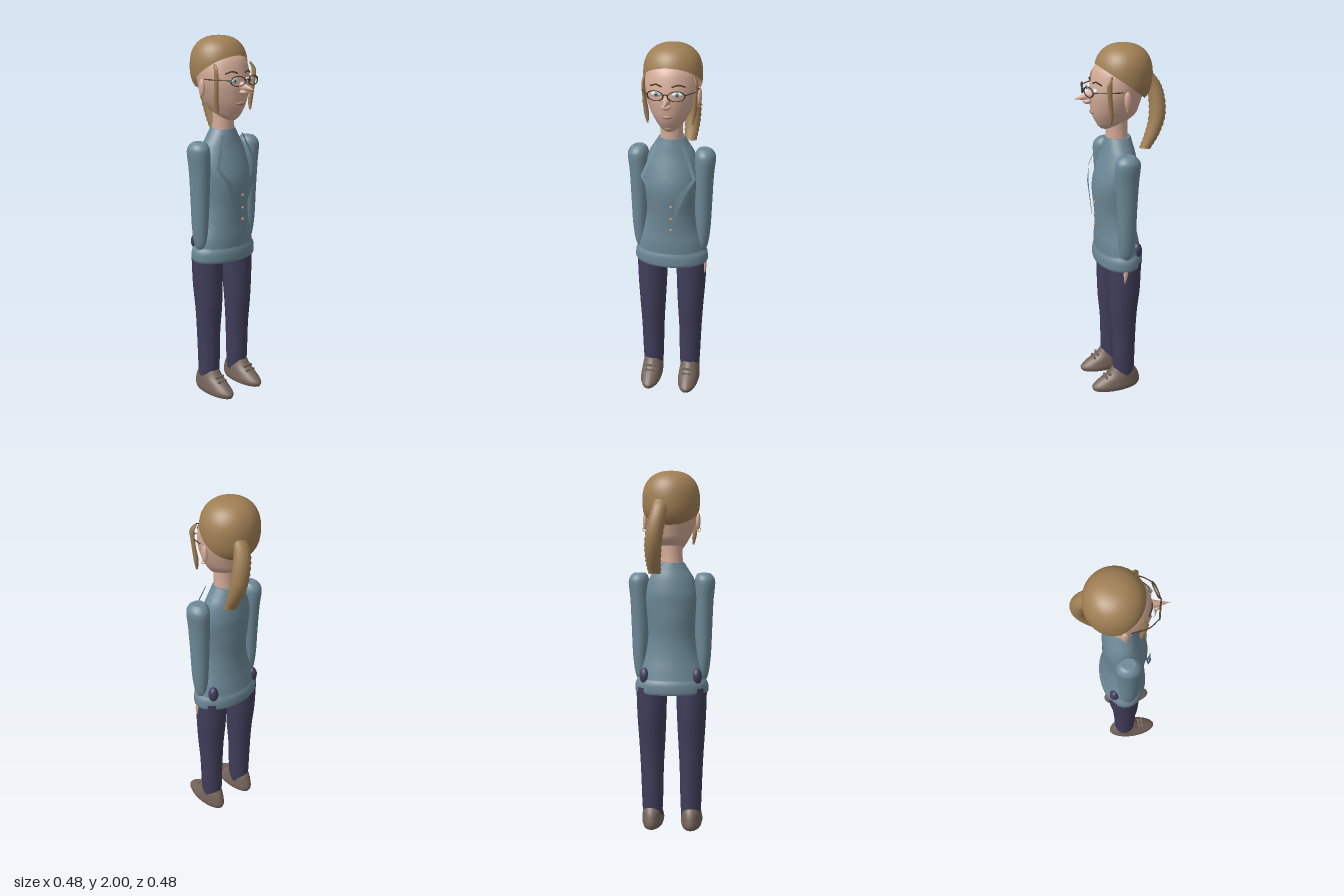
import * as THREE from 'three';

const mat = (name, color, side = THREE.FrontSide) => {
  const m = new THREE.MeshStandardMaterial({ color, side });
  m.name = name;
  return m;
};

// Lofts ellipse rings [y, cx, cz, rx, rz] listed from bottom to top, with flat end caps.
function loft(rings, steps = 5, segs = 28) {
  const centres = new THREE.CatmullRomCurve3(rings.map(r => new THREE.Vector3(r[1], r[0], r[2])), false, 'catmullrom');
  const radii = new THREE.CatmullRomCurve3(rings.map(r => new THREE.Vector3(r[3], 0, r[4])), false, 'catmullrom');
  const n = (rings.length - 1) * steps, pos = [], idx = [];
  const addRing = t => {
    const c = centres.getPoint(t), r = radii.getPoint(t);
    for (let j = 0; j < segs; j++) {
      const a = j / segs * Math.PI * 2;
      pos.push(c.x + r.x * Math.sin(a), c.y, c.z + r.z * Math.cos(a));
    }
    return c;
  };
  for (let i = 0; i <= n; i++) addRing(i / n);
  for (let i = 0; i < n; i++) for (let j = 0; j < segs; j++) {
    const k = (j + 1) % segs, a = i * segs, b = a + segs;
    idx.push(a + j, a + k, b + j, a + k, b + k, b + j);
  }
  for (const t of [0, 1]) {
    const start = pos.length / 3, c = addRing(t), mid = pos.length / 3;
    pos.push(c.x, c.y, c.z);
    for (let j = 0; j < segs; j++) {
      const k = (j + 1) % segs;
      if (t) idx.push(mid, start + j, start + k); else idx.push(mid, start + k, start + j);
    }
  }
  const g = new THREE.BufferGeometry();
  g.setAttribute('position', new THREE.Float32BufferAttribute(pos, 3));
  g.setIndex(idx);
  g.computeVertexNormals();
  return g;
}

// Flat ribbon between two edges given as pairs of points
function ribbon(pairs) {
  const g = new THREE.BufferGeometry(), idx = [];
  for (let i = 0; i < pairs.length - 1; i++) idx.push(2 * i, 2 * i + 1, 2 * i + 2, 2 * i + 1, 2 * i + 3, 2 * i + 2);
  g.setAttribute('position', new THREE.Float32BufferAttribute(pairs.flat(2), 3));
  g.setIndex(idx);
  g.computeVertexNormals();
  return g;
}

export function createModel() {
  const skin = mat('skin', 0xd3ab97), hair = mat('hair', 0xa07f54, THREE.DoubleSide);
  const shirt = mat('shirt blue', 0x6c8896, THREE.DoubleSide), navy = mat('trouser navy', 0x403d5a);
  const brown = mat('shoe brown', 0x75655b), white = mat('eye white', 0xdfe4e6), iris = mat('iris blue', 0x6f9bb0);
  const lip = mat('lip', 0xb07f76), gold = mat('gold', 0xc89a62), dark = mat('dark brown', 0x4a3826);
  const model = new THREE.Group();

  const add = (name, geo, material, x = 0, y = 0, z = 0) => {
    const m = new THREE.Mesh(geo, material);
    m.name = name;
    m.position.set(x, y, z);
    model.add(m);
    return m;
  };
  const ball = (name, material, x, y, z, rx, ry, rz) =>
    add(name, new THREE.SphereGeometry(1, 20, 14).scale(rx, ry, rz), material, x, y, z);
  const tube = (name, material, points, r) => add(name, new THREE.TubeGeometry(
    new THREE.CatmullRomCurve3(points.map(p => new THREE.Vector3(...p))), 12, r, 6), material);

  // Jumper body with hem band
  add('torso', loft([
    [0.865, 0, 0.005, 0.19, 0.122], [0.92, 0, 0.01, 0.178, 0.118], [1.0, 0, 0.015, 0.152, 0.11],
    [1.1, 0, 0.02, 0.135, 0.11], [1.2, 0, 0.021, 0.142, 0.119], [1.27, 0, 0.017, 0.15, 0.117],
    [1.34, 0, 0.006, 0.148, 0.108], [1.42, 0, -0.002, 0.125, 0.09], [1.47, 0, -0.002, 0.095, 0.078],
    [1.51, 0, -0.002, 0.07, 0.068]]), shirt);
  add('hem', loft([[0.785, 0, 0.004, 0.2, 0.126], [0.8, 0, 0.004, 0.206, 0.131],
    [0.84, 0, 0.004, 0.204, 0.13], [0.87, 0, 0.005, 0.188, 0.12]]), shirt);
  add('neck', loft([[1.47, 0, 0.003, 0.064, 0.06], [1.55, 0, 0.005, 0.06, 0.058], [1.64, 0, 0.005, 0.062, 0.06]]), skin);

  // Head and face
  add('head', loft([
    [1.562, 0, 0.068, 0.025, 0.025], [1.585, 0, 0.045, 0.058, 0.068], [1.63, 0, 0.022, 0.09, 0.115],
    [1.68, 0, 0.016, 0.115, 0.131], [1.75, 0, 0.008, 0.138, 0.143], [1.82, 0, -0.006, 0.144, 0.146],
    [1.88, 0, -0.015, 0.132, 0.135], [1.93, 0, -0.025, 0.1, 0.1]]), skin);
  const nose = add('nose', new THREE.ConeGeometry(1, 0.12, 16, 1).rotateX(Math.PI / 2).scale(0.028, 0.038, 1), skin, 0, 1.738, 0.178);
  nose.rotation.x = 0.12;
  ball('nostrils', skin, 0, 1.715, 0.165, 0.026, 0.015, 0.025);
  ball('lips', lip, 0, 1.655, 0.135, 0.03, 0.011, 0.019);
  ball('chin', skin, 0, 1.592, 0.09, 0.035, 0.024, 0.026);

  // Hair cap: tilted bowl, slightly squared from the side
  const cap = new THREE.SphereGeometry(1, 40, 24, 0, Math.PI * 2, 0, 1.81).rotateX(-0.61);
  const p = cap.attributes.position;
  for (let i = 0; i < p.count; i++) {
    const x = p.getX(i), y = p.getY(i), z = p.getZ(i);
    const k = Math.pow(Math.pow(Math.hypot(x, z), 2.4) + Math.pow(Math.abs(y), 2.4), -1 / 2.4);
    p.setXYZ(i, x * k * 0.156, y * k * 0.16, z * k * 0.153);
  }
  cap.computeVertexNormals();
  add('hairCap', cap, hair, 0, 1.84, -0.032);

  // Ponytail: layered tufts along a curve
  const path = new THREE.CatmullRomCurve3([[0.08, 1.455, -0.128], [0.083, 1.53, -0.165], [0.08, 1.62, -0.192],
    [0.065, 1.72, -0.194], [0.05, 1.8, -0.175], [0.045, 1.855, -0.14]].map(q => new THREE.Vector3(...q)));
  const tail = [];
  for (let i = 0; i <= 32; i++) {
    const t = i / 32, c = path.getPoint(t), r = (0.033 + 0.014 * Math.sin(t * Math.PI)) * (i % 2 ? 0.95 : 1.06);
    tail.push([c.y, c.x, c.z, r, r * 0.92]);
  }
  add('ponytail', loft(tail, 1, 16), hair);

  for (const s of [-1, 1]) {
    const side = s > 0 ? 'left' : 'right';

    // Sleeve, trouser leg and shoe
    add(side + 'Arm', loft([
      [0.855, s * 0.172, 0.01, 0.02, 0.025], [0.9, s * 0.174, 0.01, 0.033, 0.04], [1.0, s * 0.177, 0.01, 0.042, 0.05],
      [1.15, s * 0.176, 0.01, 0.049, 0.056], [1.3, s * 0.178, 0.01, 0.053, 0.064], [1.4, s * 0.183, 0.008, 0.057, 0.069],
      [1.435, s * 0.181, 0.008, 0.048, 0.056], [1.452, s * 0.178, 0.008, 0.032, 0.036]]), shirt);
    add(side + 'Leg', loft([
      [0.065, s * 0.11, 0, 0.055, 0.056], [0.15, s * 0.11, 0.003, 0.06, 0.063], [0.35, s * 0.111, 0.002, 0.066, 0.067],
      [0.5, s * 0.111, 0.004, 0.074, 0.077], [0.65, s * 0.112, -0.002, 0.082, 0.087], [0.82, s * 0.112, -0.005, 0.087, 0.09]]), navy);
    ball(side + 'Hip', navy, s * 0.145, 0.885, -0.062, 0.028, 0.046, 0.028);
    add(side + 'Shoe', loft([
      [0, s * 0.112, 0.052, 0.056, 0.138], [0.025, s * 0.112, 0.05, 0.062, 0.146], [0.06, s * 0.112, 0.032, 0.059, 0.122],
      [0.095, s * 0.112, 0.012, 0.055, 0.088], [0.132, s * 0.112, 0.01, 0.045, 0.06]]), brown);
    for (const [y, z] of [[0.1, 0.094], [0.08, 0.115]])
      add(side + 'ShoeStrap', new THREE.BoxGeometry(0.06, 0.01, 0.012), brown, s * 0.112, y, z);

    // Zigzag lapel
    add(side + 'Lapel', ribbon([
      [[s * 0.065, 1.485, 0.08], [s * 0.078, 1.485, 0.075]],
      [[s * 0.13, 1.312, 0.122], [s * 0.15, 1.315, 0.115]],
      [[s * 0.052, 1.225, 0.148], [s * 0.1, 1.235, 0.142]],
      [[s * 0.022, 1.06, 0.14], [s * 0.03, 1.06, 0.14]]]), shirt);

    // Eye, brow and ear
    ball(side + 'Eye', white, s * 0.054, 1.775, 0.141, 0.028, 0.014, 0.013);
    ball(side + 'Iris', iris, s * 0.054, 1.775, 0.15, 0.012, 0.012, 0.006);
    ball(side + 'Pupil', dark, s * 0.054, 1.775, 0.155, 0.005, 0.005, 0.003);
    tube(side + 'Brow', dark, [[s * 0.025, 1.812, 0.142], [s * 0.055, 1.822, 0.135], [s * 0.09, 1.81, 0.114]], 0.004);
    ball(side + 'Ear', skin, s * 0.145, 1.735, -0.005, 0.013, 0.047, 0.02);
    add(side + 'Earring', new THREE.TorusGeometry(0.012, 0.002, 6, 16), gold, s * 0.147, 1.69, 0.0);

    // Spectacle rim and temple
    const rim = add(side + 'Rim', new THREE.TorusGeometry(0.044, 0.004, 8, 28).scale(1, 0.58, 1), dark, s * 0.054, 1.775, 0.176);
    rim.rotation.y = s * 0.245;
    tube(side + 'Temple', dark, [[s * 0.096, 1.78, 0.166], [s * 0.135, 1.782, 0.11], [s * 0.148, 1.78, 0.02]], 0.003);

    // Loose strand beside the face
    const w = s > 0 ? 0.01 : 0;
    add(side + 'Strand', loft([
      [1.605, s * (0.113 + w), 0.085, 0.005, 0.006], [1.66, s * (0.12 + w), 0.08, 0.013, 0.013],
      [1.74, s * (0.128 + w), 0.088, 0.01, 0.013], [1.82, s * (0.132 + w), 0.092, 0.008, 0.014],
      [1.86, s * 0.128, 0.078, 0.005, 0.008]], 4, 10), hair);
  }
  tube('glassesBridge', dark, [[-0.012, 1.78, 0.187], [0, 1.786, 0.19], [0.012, 1.78, 0.187]], 0.003);

  // Finger showing below the hem, and shirt buttons
  add('leftHand', loft([[0.72, 0.193, 0.025, 0.003, 0.003], [0.76, 0.194, 0.022, 0.008, 0.011], [0.82, 0.188, 0.015, 0.012, 0.016]]), skin);
  for (const y of [1.155, 1.085, 1.02]) ball('button', gold, 0.02, y, 0.14, 0.008, 0.008, 0.006);

  return model;
}
